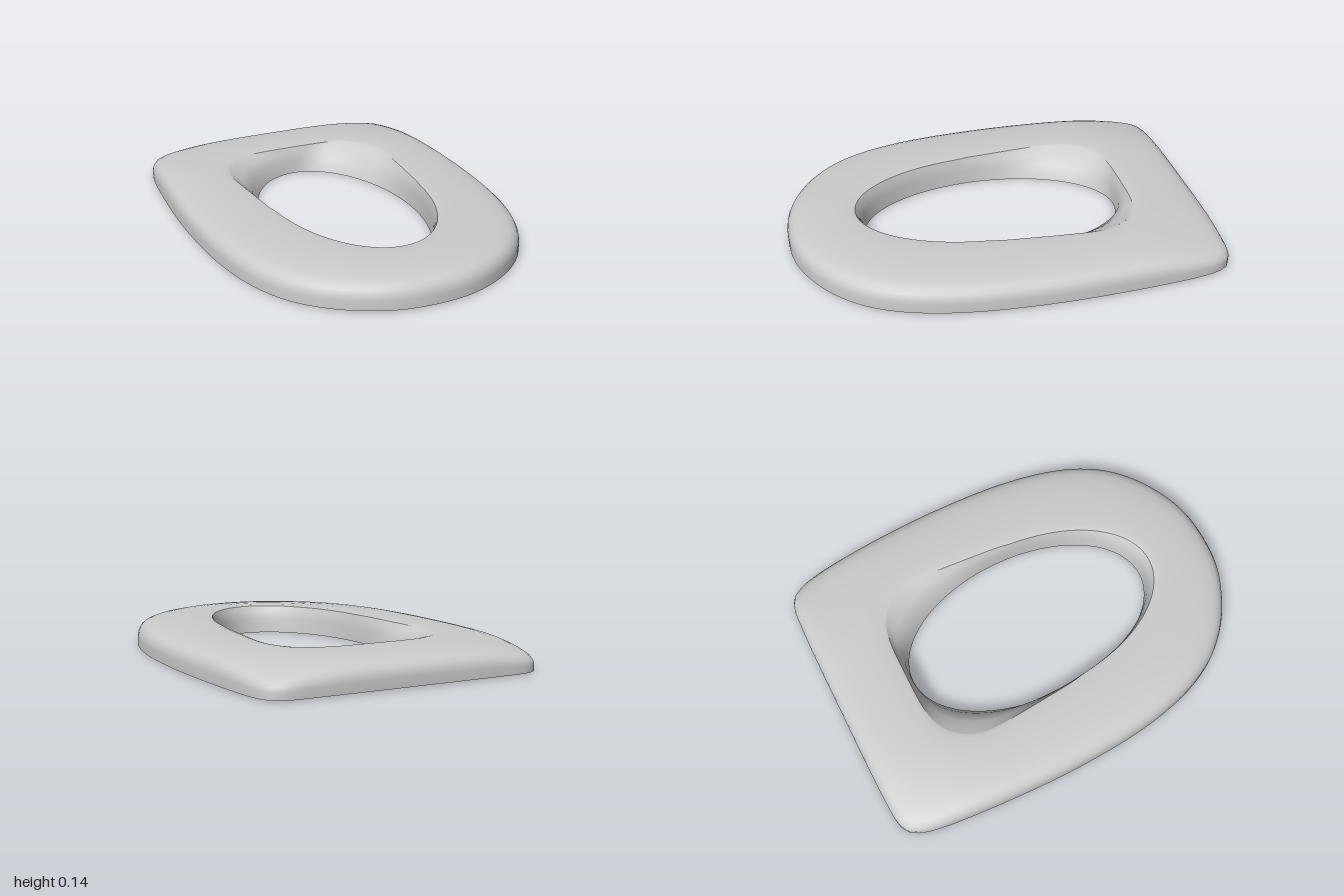
import * as THREE from 'three';

const SEGMENTS = 128;

// Right half of the seat outline, front to back, as [x, z]
const HALF = [
  [0, 1], [0.16, 0.985], [0.3, 0.935], [0.44, 0.85], [0.56, 0.73], [0.64, 0.59],
  [0.695, 0.42], [0.73, 0.22], [0.745, 0.03], [0.75, -0.2], [0.743, -0.42], [0.73, -0.62],
  [0.71, -0.81], [0.69, -0.9], [0.66, -0.957], [0.61, -0.985], [0.48, -0.996], [0.24, -1], [0, -1],
];

// Closed, mirrored outline sampled evenly
function outline() {
  const mirrored = HALF.slice(1, -1).reverse().map(([x, z]) => [-x, z]);
  const points = [...HALF, ...mirrored].map(([x, z]) => new THREE.Vector3(x, 0, z));
  const curve = new THREE.CatmullRomCurve3(points, true, 'centripetal');
  return curve.getSpacedPoints(SEGMENTS).slice(0, SEGMENTS);
}

const power = (v, n) => Math.sign(v) * Math.abs(v) ** (2 / n);

// Upper edge of the opening: oval in front, wider and squarer at the back
function lipPoint(a) {
  const s = Math.sin(a), c = Math.cos(a);
  const back = THREE.MathUtils.smoothstep(-c, -0.2, 0.5);
  const n = 2 + 2 * back;
  const width = 0.385 + 0.06 * back;
  return new THREE.Vector3(width * power(s, n), 0, (c < 0 ? 0.65 : 0.675) * power(c, n));
}

const oval = (a, rx, rz, z = 0) => new THREE.Vector3(rx * Math.sin(a), 0, z + rz * Math.cos(a));

// Skins a stack of closed loops
function loft(name, loops, material) {
  const position = [], index = [];
  loops.forEach((loop) => loop.forEach((p) => position.push(p.x, p.y, p.z)));
  for (let j = 0; j < loops.length - 1; j++) {
    for (let i = 0; i < SEGMENTS; i++) {
      const k = (i + 1) % SEGMENTS;
      const a = j * SEGMENTS + i, b = j * SEGMENTS + k;
      const c = a + SEGMENTS, d = b + SEGMENTS;
      index.push(a, b, d, a, d, c);
    }
  }
  const geometry = new THREE.BufferGeometry();
  geometry.setAttribute('position', new THREE.Float32BufferAttribute(position, 3));
  geometry.setIndex(index);
  geometry.computeVertexNormals();
  const mesh = new THREE.Mesh(geometry, material);
  mesh.name = name;
  return mesh;
}

// Loop part way between two loops, at height y
const between = (from, to, t, y) => from.map((p, i) => p.clone().lerp(to[i], t).setY(y));

// Lowers the shell softly toward its two back corners
function dropCorners(loop) {
  loop.forEach((p) => {
    const distance = Math.hypot(Math.abs(p.x) - 0.69, p.z + 0.95);
    p.y -= 0.25 * p.y * Math.exp(-((distance / 0.22) ** 2));
  });
  return loop;
}

export function createModel() {
  const group = new THREE.Group();
  group.name = 'toiletSeat';
  const material = new THREE.MeshStandardMaterial({ color: 0xcccccc, side: THREE.DoubleSide });

  const outer = outline();
  const angles = outer.map((p) => Math.atan2(p.x / 0.75, p.z));
  const lip = angles.map(lipPoint);
  const hole = angles.map((a) => oval(a, 0.37, 0.628, 0.005));
  const ringEdge = angles.map((a) => oval(a, 0.52, 0.73, -0.02));

  // Rounded outer shell, open underneath: [share of the way to the opening, height]
  const profile = [
    [0, 0.006], [0, 0.05], [0.012, 0.073], [0.04, 0.094], [0.09, 0.111],
    [0.17, 0.123], [0.3, 0.132], [0.5, 0.139], [0.75, 0.144], [0.94, 0.143], [1, 0.138],
  ];
  group.add(loft('seatShell', profile.map(([t, y]) => dropCorners(between(outer, lip, t, y))), material));

  // Wall of the opening, from the upper lip down to the oval hole
  const wall = [[0, 0.138], [0.45, 0.11], [0.8, 0.07], [1, 0]];
  group.add(loft('openingWall', wall.map(([t, y]) => between(lip, hole, t, y)), material));

  // Flat ring that the seat rests on, with its thin outer edge
  group.add(loft('bottomRing', [between(hole, ringEdge, 0, 0), between(hole, ringEdge, 1, 0)], material));
  group.add(loft('bottomRingEdge', [between(ringEdge, hole, 0, 0), between(ringEdge, hole, 0, 0.006)], material));

  // Flange around the ring: flat in front, sloping up into the hollow at the back
  const flangeEdge = between(ringEdge, outer, 0.58, 0).map((p, i) => {
    const rise = THREE.MathUtils.smoothstep(-Math.cos(angles[i]), 0.05, 0.45);
    return p.setY(0.006 + 0.1 * rise);
  });
  group.add(loft('bottomFlange', [between(ringEdge, hole, 0, 0.006), flangeEdge], material));

  return group;
}
